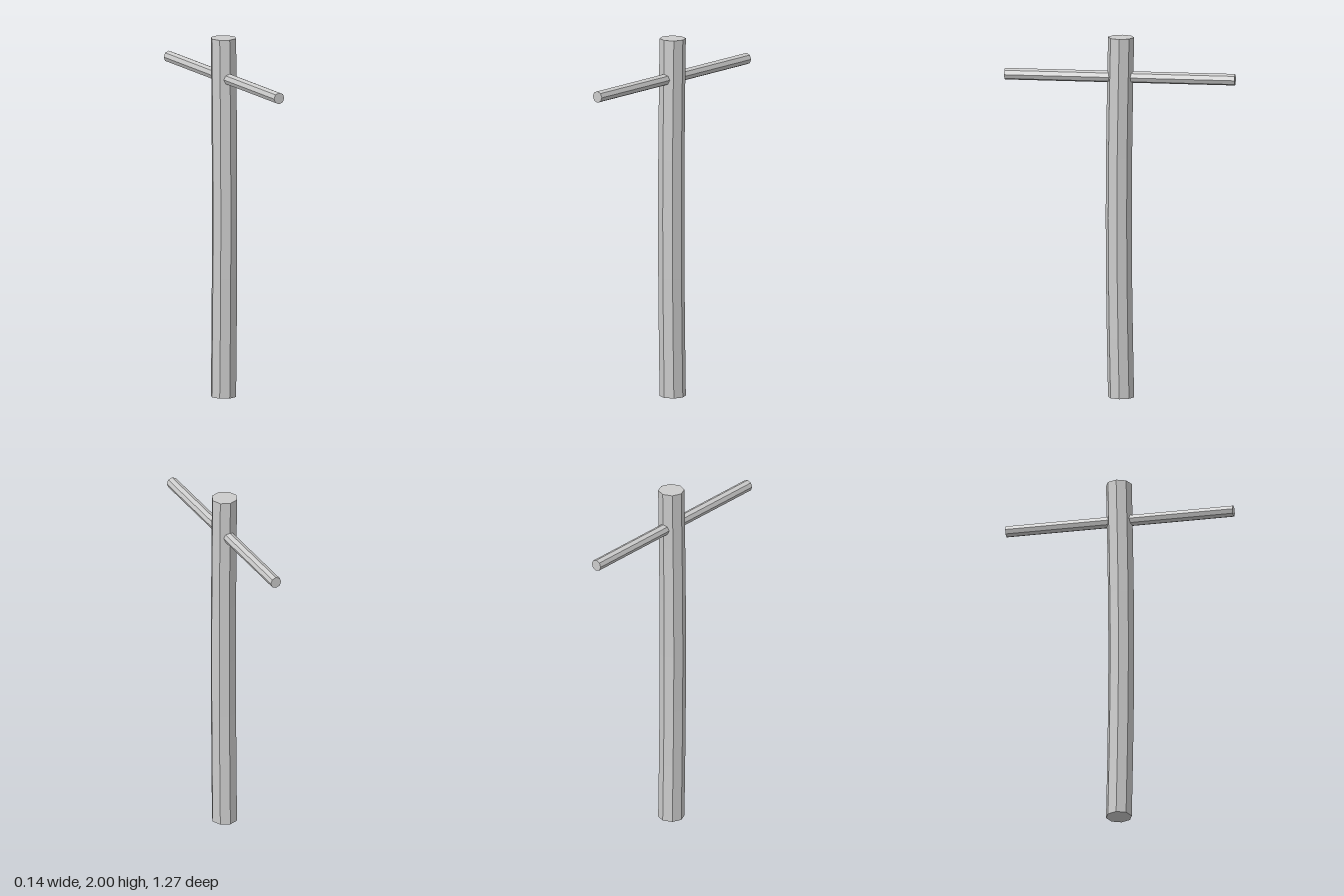
import * as THREE from 'three';

export function createModel() {
  const group = new THREE.Group();
  const grey = new THREE.MeshStandardMaterial({ color: 0xcccccc, flatShading: true });
  grey.name = 'plain grey';

  // Octagonal pole, bowed slightly forward at mid height
  const poleGeo = new THREE.CylinderGeometry(0.072, 0.072, 2, 8, 6);
  poleGeo.translate(0, 1, 0);
  const p = poleGeo.attributes.position;
  for (let i = 0; i < p.count; i++) {
    const bow = Math.sin((Math.PI * p.getY(i)) / 2);
    p.setZ(i, p.getZ(i) - 0.006 + 0.013 * bow);
  }
  poleGeo.computeVertexNormals();
  const pole = new THREE.Mesh(poleGeo, grey);
  pole.name = 'pole';

  // Crossbar running front to back through the top of the pole
  const bar = new THREE.Mesh(new THREE.CylinderGeometry(0.032, 0.032, 1.27, 8), grey);
  bar.name = 'crossbar';
  bar.rotation.x = Math.PI / 2;
  bar.position.y = 1.78;

  group.add(pole, bar);
  return group;
}
